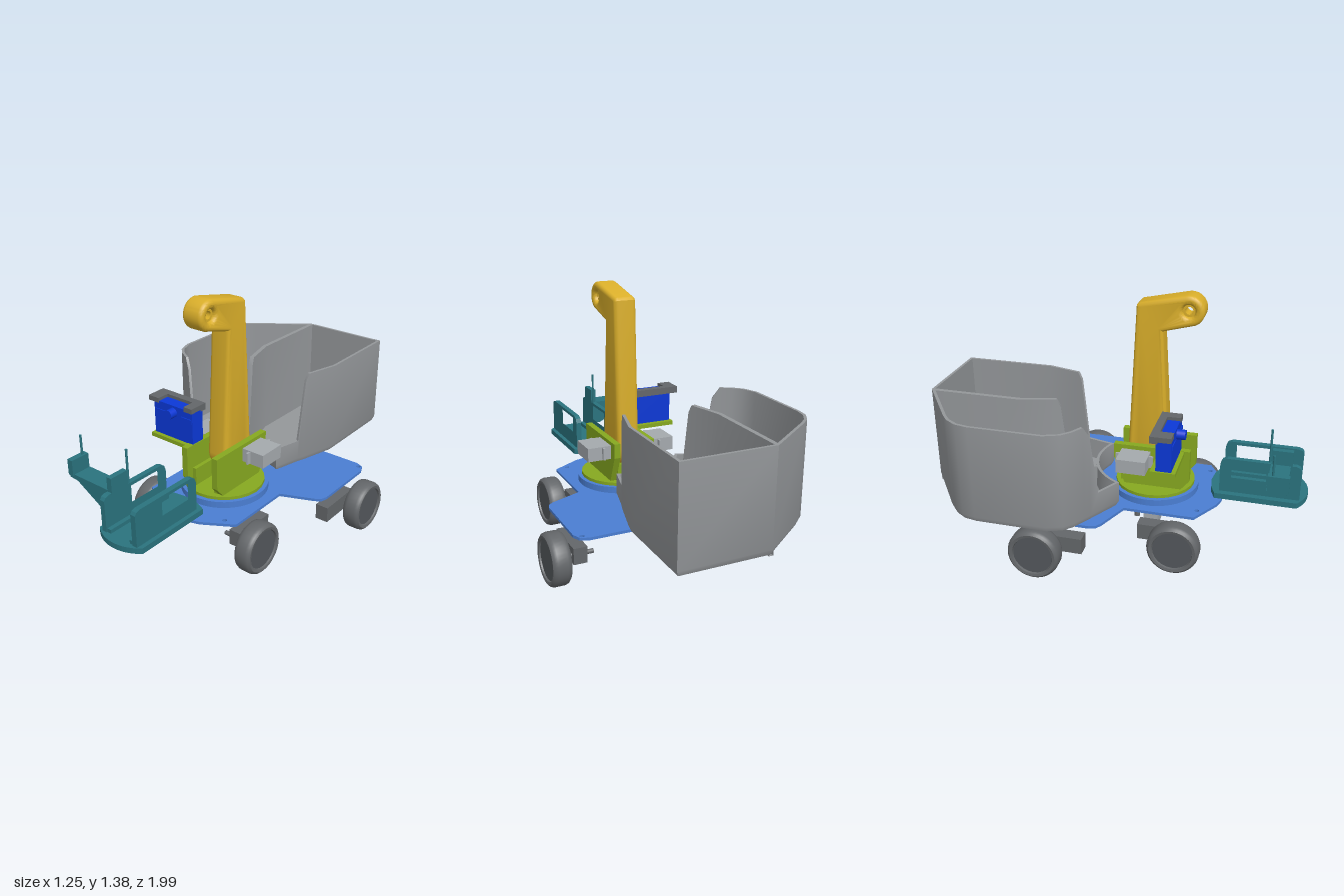
import * as THREE from 'three';
import { toCreasedNormals } from 'three/addons/utils/BufferGeometryUtils.js';

const mat = (name, color) => Object.assign(new THREE.MeshStandardMaterial({ color }), { name });

export function createModel() {
  const model = new THREE.Group();
  const yellow = mat('arm yellow', 0xd9ae2a), olive = mat('olive green', 0x86a820);
  const teal = mat('teal', 0x2a737e), plateBlue = mat('plate blue', 0x4a7ed2);
  const servoBlue = mat('bright blue', 0x0b38d6), binGrey = mat('bin grey', 0x94979a);
  const rubber = mat('tyre grey', 0x636669), rimGrey = mat('rim grey', 0x53575b);
  const lightGrey = mat('servo light grey', 0xa4a9ad);

  const add = (name, geo, material, parent = model) => {
    const m = new THREE.Mesh(geo, material);
    m.name = name;
    parent.add(m);
    return m;
  };
  // box given by its limits on each axis
  const box = (name, material, [x0, x1], [y0, y1], [z0, z1], parent) =>
    add(name, new THREE.BoxGeometry(x1 - x0, y1 - y0, z1 - z0)
      .translate((x0 + x1) / 2, (y0 + y1) / 2, (z0 + z1) / 2), material, parent);
  const rod = (name, material, r, len, axis, [x, y, z], parent) => {
    const g = new THREE.CylinderGeometry(r, r, len, 24);
    if (axis === 'x') g.rotateZ(Math.PI / 2);
    if (axis === 'z') g.rotateX(Math.PI / 2);
    return add(name, g.translate(x, y, z), material, parent);
  };
  const shapeOf = (pts) => new THREE.Shape(pts.map(([a, b]) => new THREE.Vector2(a, b)));
  const circle = (x, y, r) => new THREE.Path().absarc(x, y, r, 0, Math.PI * 2, true);
  const arc = (cx, cy, r, a0, a1, n) => Array.from({ length: n + 1 }, (_, i) => {
    const a = a0 + (a1 - a0) * i / n;
    return [cx + r * Math.cos(a), cy + r * Math.sin(a)];
  });
  // extrude a plan (x, z) between two heights
  const plan = (shape, y0, y1) => new THREE.ExtrudeGeometry(shape,
    { depth: y1 - y0, bevelEnabled: false, curveSegments: 32 }).rotateX(Math.PI / 2).translate(0, y1, 0);
  // extrude a side profile (z, y) between two x positions
  const side = (shape, x0, x1, bevel = 0) => new THREE.ExtrudeGeometry(shape, {
    depth: x1 - x0 - 2 * bevel, bevelEnabled: bevel > 0, bevelSize: bevel, bevelThickness: bevel,
    bevelOffset: -bevel, bevelSegments: 4, curveSegments: 24,
  }).rotateY(-Math.PI / 2).translate(x1 - bevel, 0, 0);

  // chassis plate, mirrored about x = 0
  const half = [[.445, -.47], [.487, -.452], [.505, -.41], [.505, -.06], [.495, -.025], [.465, -.003],
    [.29, .07], [.29, .44], [.13, .535], [.07, .553]];
  const plate = shapeOf([...half, ...half.map(([x, z]) => [-x, z]).reverse()]);
  plate.holes.push(circle(0, .175, .13));
  for (const s of [-1, 1]) plate.holes.push(circle(s * .22, .445, .012), circle(s * .47, -.44, .012));
  add('chassisPlate', plan(plate, .275, .29), plateBlue);

  // turntable ring and rotating base
  const ring = shapeOf(arc(0, .175, .236, 0, Math.PI * 2, 64).slice(0, -1));
  ring.holes.push(circle(0, .175, .19));
  add('turntableRing', plan(ring, .288, .325), plateBlue);
  rod('baseDisc', olive, .215, .03, 'y', [0, .327, .175]);
  const cheek = shapeOf([[.33, .335], [.38, .395], [.38, .57], [-.03, .57], [-.03, .49], [.03, .335]]);
  for (const [x0, x1] of [[-.115, -.08], [.085, .12]]) add('baseCheek', side(cheek, x0, x1), olive);
  box('sensorShelf', olive, [-.36, -.1], [.545, .567], [.22, .35]);
  for (const x of [-.07, .075]) box('baseRib', olive, [x - .012, x + .012], [.34, .44], [.0, .34]);

  // shoulder servos
  for (const s of [-1, 1]) {
    const g = new THREE.Group();
    g.name = 'shoulderServo';
    box('servoBody', lightGrey, [.12, .253], [.475, .55], [.015, .172], g);
    box('servoFlange', lightGrey, [.16, .172], [.48, .545], [-.005, .195], g);
    rod('servoShaft', rimGrey, .02, .06, 'x', [.1, .512, .14], g);
    g.scale.x = s;
    model.add(g);
  }

  // arm
  const arm = shapeOf([...arc(.14, .51, .11, Math.PI, Math.PI * 2, 20), [.208, 1.19],
    ...arc(.335, 1.305, .08, -1.1, 1.8, 24), [.085, 1.333], [.07, 1.318]]);
  arm.holes.push(circle(.335, 1.305, .032));
  add('arm', toCreasedNormals(side(arm, -.055, .068, .022), .6), yellow);
  const hub = shapeOf(arc(.335, 1.305, .034, 0, Math.PI * 2, 32).slice(0, -1));
  hub.holes.push(circle(.335, 1.305, .02));
  add('wristHub', side(hub, -.03, .043), yellow);

  // sensor servo with its clip
  box('sensorBody', servoBlue, [-.35, -.085], [.567, .755], [.248, .328]);
  rod('sensorKnob', servoBlue, .026, .045, 'z', [-.215, .718, .35]);
  for (const x of [-.305, -.125]) box('sensorPanel', servoBlue, [x - .035, x + .035], [.685, .71], [.328, .333]);
  box('clipBar', rubber, [-.385, -.085], [.735, .772], [.222, .262]);
  for (const [x0, x1] of [[-.385, -.315], [-.14, -.085]])
    box('clipEnd', rubber, [x0, x1], [.745, .772], [.255, .332]);

  // gripper tray: base, cheeks with windows, side arm
  const tray = shapeOf([...arc(0, .77, .225, 2.26, .88, 12).map(([x, z]) => [x, z]),
    [.143, .52], [.08, .495], [0, .485], [-.08, .495], [-.143, .52]]);
  add('trayBase', plan(tray, .335, .365), teal);
  for (const [x0, x1] of [[-.11, -.082], [.09, .12]]) {
    const wall = shapeOf([[.955, .36], [.955, .535], [.945, .55], [.925, .557],
      [.575, .557], [.55, .545], [.54, .52], [.54, .36]].reverse());
    wall.holes.push(new THREE.Path([[.6, .45], [.6, .54], [.78, .54], [.78, .45]]
      .map(([a, b]) => new THREE.Vector2(a, b))));
    add('trayWall', side(wall, x0, x1), teal);
  }
  for (const x of [-.07, .08]) box('trayRail', teal, [x - .012, x + .012], [.36, .385], [.55, .95]);
  const gusset = shapeOf([[-.09, .42], [-.09, .557], [-.385, .557], [-.385, .535], [-.33, .53], [-.14, .42]].reverse());
  add('sideArm', new THREE.ExtrudeGeometry(gusset, { depth: .1, bevelEnabled: false }).translate(0, 0, .797), teal);
  box('sideArmEnd', teal, [-.385, -.352], [.55, .635], [.8, .905]);
  box('wallBlock', teal, [-.11, -.08], [.55, .635], [.8, .905]);
  rod('outerPost', teal, .006, .12, 'y', [-.368, .68, .825]);
  rod('innerPost', teal, .006, .2, 'y', [-.088, .64, .79]);

  // thin walls swept along a path of [x, z, top height]
  const offset = (path, closed, d) => path.map((p, i) => {
    const n = path.length;
    const a = closed || i > 0 ? path[(i + n - 1) % n] : p;
    const b = closed || i < n - 1 ? path[(i + 1) % n] : p;
    const normal = (u, v) => {
      const l = Math.hypot(v[0] - u[0], v[1] - u[1]) || 1;
      return [-(v[1] - u[1]) / l, (v[0] - u[0]) / l];
    };
    const n1 = a === p ? normal(p, b) : normal(a, p), n2 = b === p ? n1 : normal(p, b);
    const k = d / (1 + n1[0] * n2[0] + n1[1] * n2[1]);
    return [p[0] + (n1[0] + n2[0]) * k, p[1] + (n1[1] + n2[1]) * k];
  });
  const sweep = (path, closed, section) => {
    const rows = section.map(([d, y]) => offset(path, closed, d)
      .map(([x, z], i) => [x, y === 'top' ? path[i][2] : y, z]));
    const out = [];
    const n = path.length, m = rows.length;
    for (let i = 0; i < (closed ? n : n - 1); i++) for (let j = 0; j < m; j++) {
      const k = (i + 1) % n, l = (j + 1) % m;
      const a = rows[j][i], b = rows[j][k], c = rows[l][k], d = rows[l][i];
      out.push(...a, ...b, ...c, ...a, ...c, ...d);
    }
    const g = new THREE.BufferGeometry();
    g.setAttribute('position', new THREE.Float32BufferAttribute(out, 3));
    g.computeVertexNormals();
    return toCreasedNormals(g, .6);
  };

  // bin: outer wall, divider, floor
  const H = .83, L = .435;
  const rim = [[-.24, -1, H], [.25, -1, H], [.25, -.5, H], [.2, -.315, H], [.194, -.295, .79], [.18, -.255, L],
    ...Array.from({ length: 13 }, (_, i) => {
      const a = .47 - 1.6 * i / 12;
      return [.31 * Math.sin(a), .175 - .31 * Math.cos(a), L];
    }),
    [-.41, -.032, L], [-.455, -.058, .77], [-.49, -.079, H], [-.55, -.115, H], [-.595, -.16, H],
    [-.625, -.24, H], [-.625, -.62, H], [-.612, -.69, H], [-.575, -.75, H], [-.53, -.79, H]];
  binGrey.side = THREE.DoubleSide;
  add('binWall', sweep(rim, true, [[0, 'top'], [0, .325], [.012, .297], [.035, .286],
    [.035, .3], [.018, .32], [.015, 'top']]), binGrey);
  add('binFloor', plan(shapeOf(offset(rim, true, .03)), .286, .3), binGrey);
  const divider = [[-.24, -.99, H], [-.242, -.5, H], [-.194, -.315, H], [-.188, -.295, .79], [-.176, -.255, L], [-.135, -.11, L]];
  add('binDivider', sweep(divider, false, [[-.012, 'top'], [-.012, .29], [.012, .29], [.012, 'top']]), binGrey);
  for (const [x, z] of [[-.31, -.44], [.12, -.44], [-.12, -.16], [.12, -.16], [-.21, -.09]])
    rod('floorBolt', plateBlue, .012, .004, 'y', [x, .301, z]);

  // wheels and gear motors
  const tyre = [[.0, -.03], [.105, -.03], [.108, -.046], [.122, -.049], [.133, -.04], [.138, -.025],
    [.138, .025], [.133, .04], [.122, .049], [.108, .046], [.105, .03], [0, .03]].map(([r, y]) => new THREE.Vector2(r, y));
  for (const s of [-1, 1]) for (const [name, x, z, m0, z0, z1] of
    [['front', .355, .352, .193, .136, .375], ['rear', .573, -.325, .412, -.36, -.105]]) {
    const g = new THREE.Group();
    g.name = name + 'Wheel';
    add('tyre', toCreasedNormals(new THREE.LatheGeometry(tyre, 40), .6)
      .rotateZ(-Math.PI / 2).translate(x, .138, z), rubber, g);
    rod('rim', rimGrey, .104, .076, 'x', [x, .138, z], g);
    rod('axle', rubber, .012, .2, 'x', [x - .105, .138, z], g);
    box('gearMotor', rubber, [m0, m0 + .073], [.098, .186], [z0, z1], g);
    g.scale.x = s;
    model.add(g);
  }

  // steering servo under the plate
  box('steeringServo', lightGrey, [-.12, .045], [.095, .25], [.136, .216]);
  for (const y of [.125, .235]) box('steeringServoTab', lightGrey, [.04, .072], [y - .005, y + .005], [.145, .207]);
  rod('steeringShaft', lightGrey, .03, .06, 'y', [0, .275, .176]);
  box('steeringHorn', lightGrey, [-.035, .045], [.282, .297], [.155, .197]);
  rod('loosePin', rubber, .016, .042, 'y', [.003, .091, .072]);
  rod('loosePinStem', rubber, .007, .05, 'y', [.003, .13, .072]);
  return model;
}
